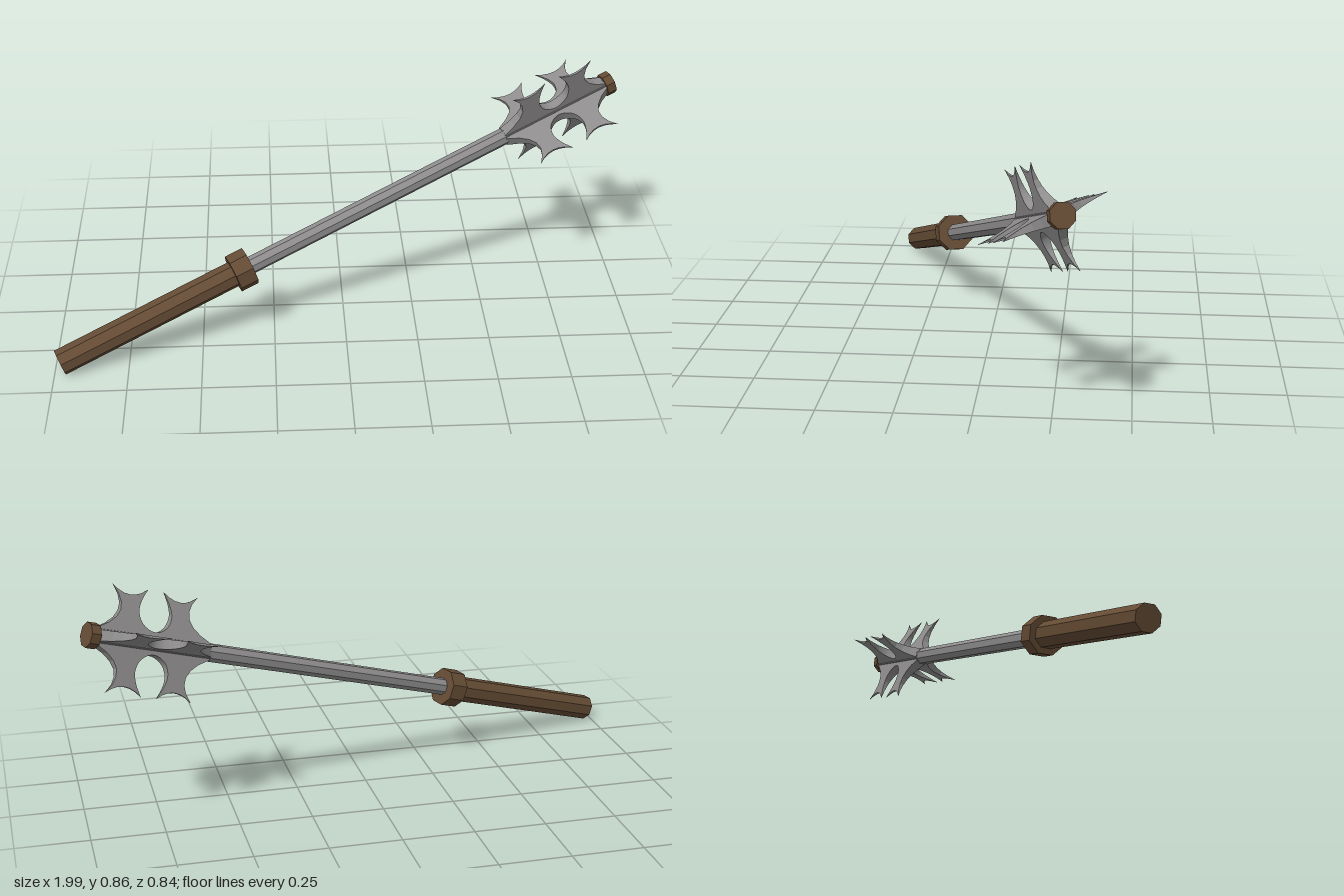
import * as THREE from 'three';

const steel = new THREE.MeshStandardMaterial({ color: 0x8e8c8c, flatShading: true });
steel.name = 'steel';
const leather = new THREE.MeshStandardMaterial({ color: 0x644b34, flatShading: true });
leather.name = 'brown leather';

// Eight-sided rod running along the weapon's axis between two distances
function rod(name, radius, from, to, material) {
  const geometry = new THREE.CylinderGeometry(radius, radius, to - from, 8);
  geometry.translate(0, (from + to) / 2, 0);
  const mesh = new THREE.Mesh(geometry, material);
  mesh.name = name;
  return mesh;
}

// Blade with two flared fins: x is distance from the axis, y is distance along it
function bladeGeometry() {
  const tip = 0.175, mid = 1.943;
  const notch = [[0.137, 1.893], [0.1, 1.883], [0.065, 1.893], [0.044, 1.917]];
  const points = [
    ...notch, [0.037, mid],
    ...notch.slice().reverse().map(([r, t]) => [r, 2 * mid - t]),
    [tip, 1.971],
  ].map(([r, t]) => new THREE.Vector2(r, t));

  const shape = new THREE.Shape();
  shape.moveTo(0, 1.735);
  shape.lineTo(0.028, 1.735);
  shape.quadraticCurveTo(0.088, 1.87, tip, 1.785);
  shape.quadraticCurveTo(0.122, 1.85, tip, 1.915);
  shape.splineThru(points);
  shape.quadraticCurveTo(0.122, 2.036, tip, 2.101);
  shape.quadraticCurveTo(0.088, 2.016, 0.028, 2.15);
  shape.lineTo(0, 2.15);
  shape.closePath();

  // Thin the plate towards its cutting edge
  const geometry = new THREE.ExtrudeGeometry(shape, { depth: 1, bevelEnabled: false, curveSegments: 6 });
  const position = geometry.attributes.position;
  for (let i = 0; i < position.count; i++) {
    const half = 0.022 * (1 - position.getX(i) / 0.18);
    position.setZ(i, (position.getZ(i) - 0.5) * 2 * half);
  }
  geometry.computeVertexNormals();
  return geometry;
}

export function createModel() {
  const mace = new THREE.Group();
  mace.name = 'mace';

  mace.add(rod('grip', 0.046, 0, 0.67, leather));
  mace.add(rod('collar', 0.068, 0.66, 0.725, leather));
  mace.add(rod('shaft', 0.031, 0.7, 2.16, steel));
  mace.add(rod('endCap', 0.042, 2.147, 2.18, leather));

  // Four blades around the head
  const geometry = bladeGeometry();
  for (let i = 0; i < 4; i++) {
    const blade = new THREE.Mesh(geometry, steel);
    blade.name = 'blade' + (i + 1);
    blade.rotation.y = i * Math.PI / 2;
    mace.add(blade);
  }

  // Tilt the whole weapon along its diagonal
  const start = new THREE.Vector3(-0.98, 0.047, 0.386);
  const axis = new THREE.Vector3(0.98, 0.735, -0.287).sub(start).normalize();
  const up = new THREE.Vector3(-0.17, 0.885, 0.433);
  up.addScaledVector(axis, -up.dot(axis)).normalize();
  const side = new THREE.Vector3().crossVectors(up, axis);
  mace.quaternion.setFromRotationMatrix(new THREE.Matrix4().makeBasis(up, axis, side));
  mace.position.copy(start);

  const model = new THREE.Group();
  model.name = 'model';
  model.add(mace);
  return model;
}
